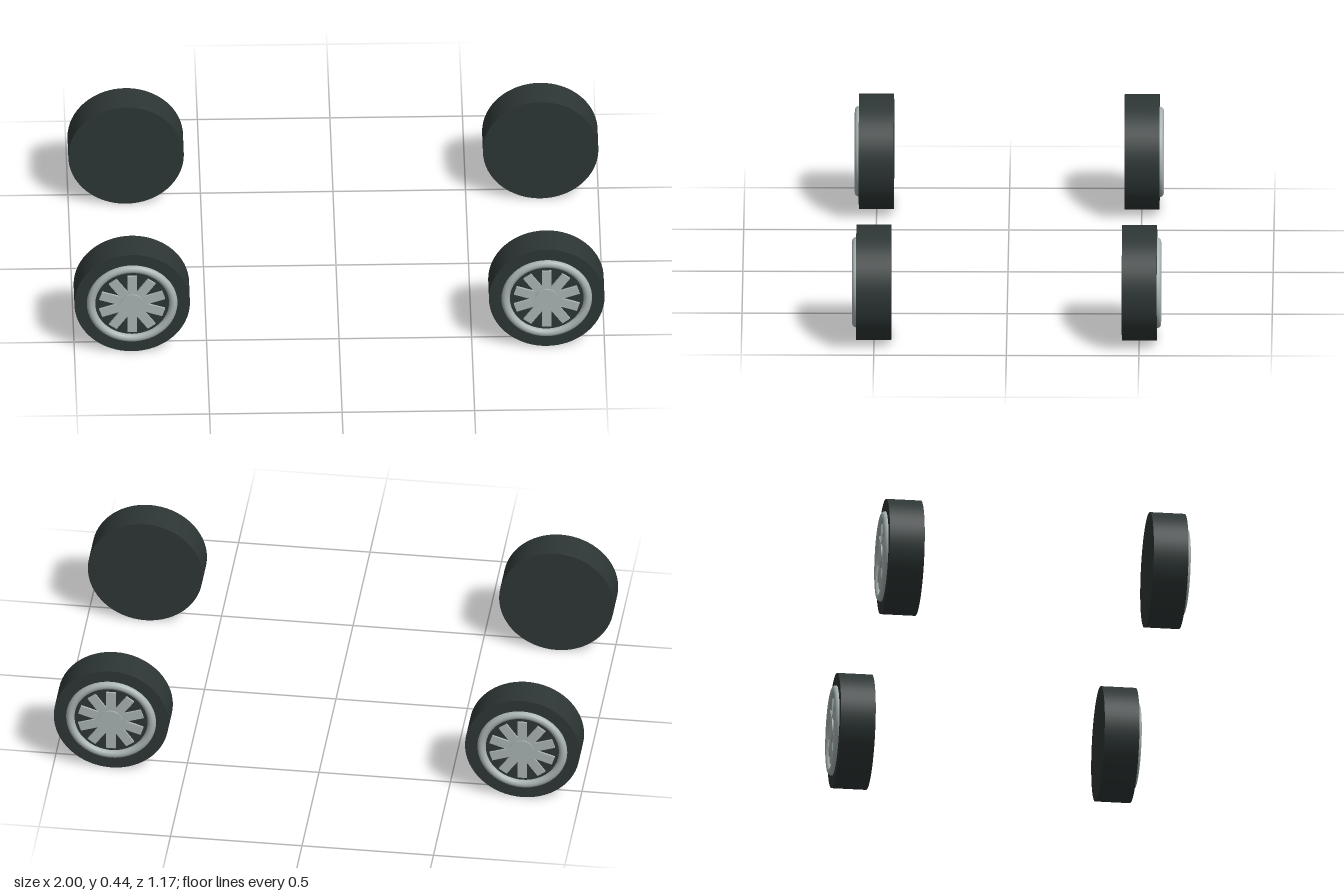
import * as THREE from 'three';

const R = 0.218, WIDTH = 0.132;

const rubber = new THREE.MeshStandardMaterial({ color: 0x2d3635 });
rubber.name = 'dark rubber';
const silver = new THREE.MeshStandardMaterial({ color: 0xa9b3b3 });
silver.name = 'silver metal';

function part(parent, name, geometry, material) {
  const mesh = new THREE.Mesh(geometry, material);
  mesh.name = name;
  parent.add(mesh);
  return mesh;
}

// One wheel, centred on its tyre, with the decorated side facing +z
function createWheel(name) {
  const wheel = new THREE.Group();
  wheel.name = name;
  const face = WIDTH / 2;

  part(wheel, 'tyre', new THREE.CylinderGeometry(R, R, WIDTH, 64).rotateX(Math.PI / 2), rubber);

  // Rounded rim ring, half sunk into the tyre
  part(wheel, 'rimRing', new THREE.TorusGeometry(0.155, 0.016, 16, 64), silver).position.z = face;

  // Five crossing bars make ten spokes
  for (let i = 0; i < 5; i++) {
    const bar = part(wheel, 'spokePair', new THREE.BoxGeometry(0.036, 0.25, 0.016), silver);
    bar.position.z = face;
    bar.rotation.z = (i * Math.PI) / 5;
  }

  // Hub cap
  const hub = part(wheel, 'hubCap', new THREE.CylinderGeometry(0.045, 0.045, 0.026, 32).rotateX(Math.PI / 2), silver);
  hub.position.z = face;
  return wheel;
}

export function createModel() {
  const model = new THREE.Group();
  model.name = 'wheelSet';
  for (const x of [-1, 1]) {
    for (const z of [-1, 1]) {
      const wheel = createWheel((z > 0 ? 'front' : 'back') + (x > 0 ? 'Left' : 'Right') + 'Wheel');
      wheel.position.set(x * (1 - R), R, z * 0.501);
      if (z < 0) wheel.rotation.y = Math.PI;
      model.add(wheel);
    }
  }
  return model;
}
